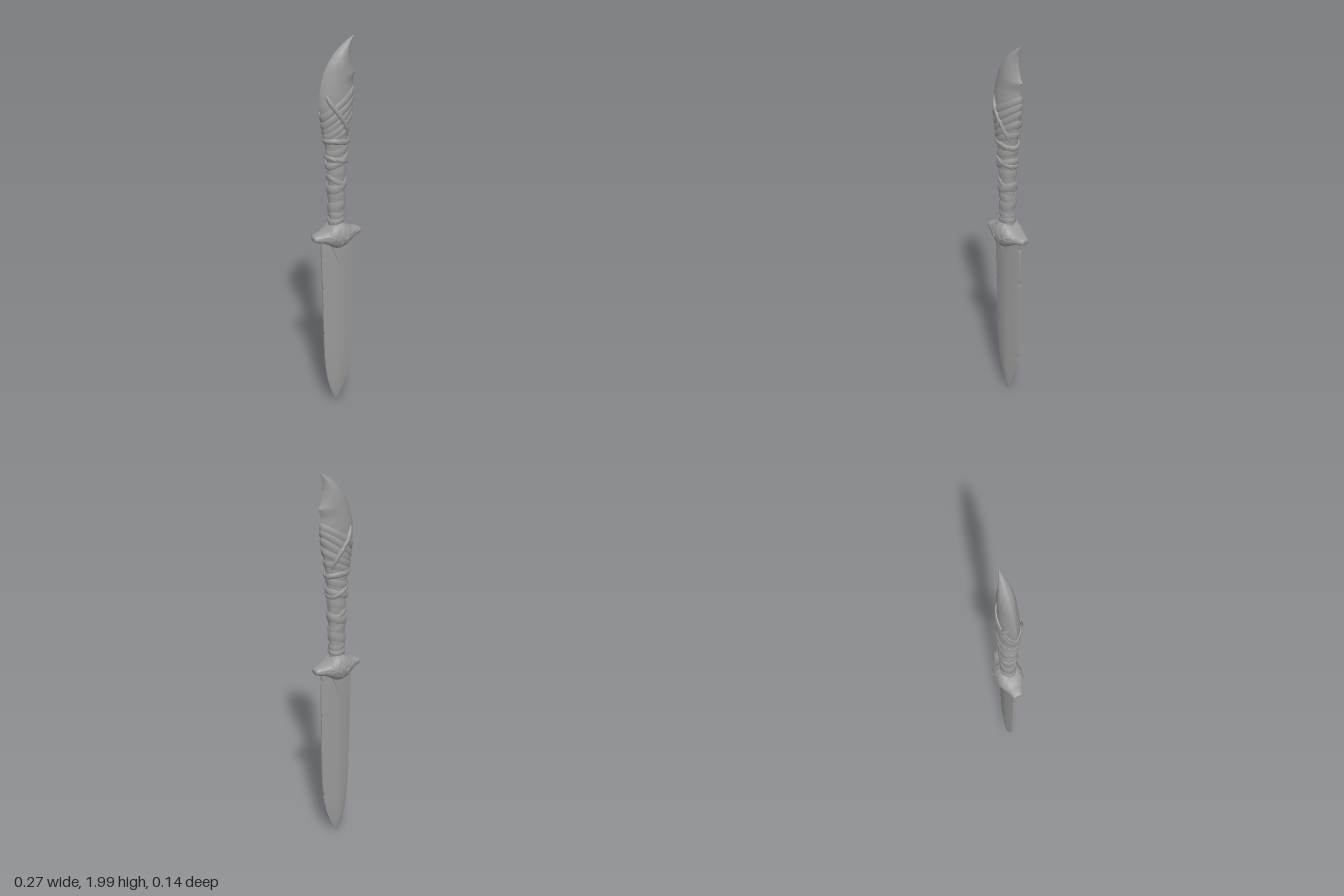
import * as THREE from 'three';
import { toCreasedNormals } from 'three/addons/utils/BufferGeometryUtils.js';

const material = new THREE.MeshStandardMaterial({ color: 0x999999 });
const TAU = Math.PI * 2;

// Skin a list of rings (arrays of [x, y, z]); looped joins last ring to first, otherwise ends are capped.
function loft(rings, looped, crease) {
  const n = rings[0].length, m = rings.length, pos = rings.flat(2), index = [];
  for (let i = 0; i < (looped ? m : m - 1); i++) {
    for (let j = 0; j < n; j++) {
      const a = i * n + j, b = i * n + (j + 1) % n;
      const c = ((i + 1) % m) * n + j, d = ((i + 1) % m) * n + (j + 1) % n;
      index.push(a, c, b, b, c, d);
    }
  }
  if (!looped) {
    const e = (m - 1) * n;
    for (let j = 1; j < n - 1; j++) index.push(0, j, j + 1, e, e + j + 1, e + j);
  }
  const g = new THREE.BufferGeometry();
  g.setAttribute('position', new THREE.Float32BufferAttribute(pos, 3));
  g.setIndex(index);
  return toCreasedNormals(g, crease);
}

// Interpolate rows of [key, ...values]
function sample(rows, k) {
  let i = 0;
  while (i < rows.length - 2 && k > rows[i + 1][0]) i++;
  const a = rows[i], b = rows[i + 1];
  const t = THREE.MathUtils.clamp((k - a[0]) / (b[0] - a[0]), 0, 1);
  return a.slice(1).map((v, q) => v + (b[q + 1] - v) * t);
}

function add(group, name, geometry) {
  const mesh = new THREE.Mesh(geometry, material);
  mesh.name = name;
  group.add(mesh);
}

// Blade rows: y, left x, right x, half thickness
const BLADE = [
  [0.01, -0.002, 0.002, 0.002], [0.04, -0.017, 0.02, 0.009], [0.09, -0.036, 0.043, 0.014],
  [0.15, -0.052, 0.063, 0.018], [0.22, -0.063, 0.079, 0.02], [0.3, -0.07, 0.087, 0.021],
  [0.42, -0.075, 0.091, 0.022], [0.6, -0.079, 0.093, 0.022], [0.8, -0.083, 0.094, 0.022],
  [0.95, -0.088, 0.093, 0.022], [1.02, -0.088, 0.09, 0.022],
];
// Nicks in the edges: y, side, depth
const NICKS = [[0.745, 1, 0.005], [0.27, 1, 0.005], [0.95, 1, 0.006], [0.45, -1, 0.004],
  [0.72, -1, 0.003], [0.9, -1, 0.003]];

function bladeGeometry() {
  const rings = [];
  const us = [-1, -0.8, -0.5, -0.2, 0, 0.2, 0.5, 0.8, 1];
  for (let i = 0; i <= 160; i++) {
    const y = 0.01 + 1.01 * i / 160;
    let [l, r, d] = sample(BLADE, y);
    for (const [ny, side, depth] of NICKS) {
      const dent = depth * Math.exp(-(((y - ny) / 0.01) ** 2));
      if (side > 0) r -= dent; else l += dent;
    }
    const at = (u, s) => [
      (l + r) / 2 * u * u + u * (r - l) / 2, y,
      s * d * (0.25 + 0.75 * (1 - Math.abs(u) ** 1.6)),
    ];
    rings.push([...us.slice().reverse().map(u => at(u, 1)), ...us.map(u => at(u, -1))]);
  }
  return loft(rings, false, 0.5);
}

// Grip and hooked pommel rows: y, left x, right x, half depth, edge sharpness
const GRIP = [
  [1.05, -0.042, 0.04, 0.034, 1], [1.12, -0.04, 0.038, 0.033, 1], [1.25, -0.043, 0.042, 0.036, 1],
  [1.4, -0.05, 0.048, 0.038, 1], [1.5, -0.061, 0.056, 0.04, 1.1], [1.6, -0.076, 0.073, 0.043, 1.2],
  [1.68, -0.092, 0.084, 0.045, 1.3], [1.74, -0.091, 0.088, 0.044, 1.5], [1.79, -0.082, 0.087, 0.041, 1.7],
  [1.83, -0.07, 0.1, 0.04, 1.7], [1.85, -0.062, 0.09, 0.039, 1.7], [1.88, -0.047, 0.08, 0.037, 1.7],
  [1.92, -0.018, 0.074, 0.031, 1.7], [1.95, 0.013, 0.076, 0.023, 1.7], [1.975, 0.045, 0.083, 0.013, 1.7],
  [2.0, 0.09, 0.093, 0.001, 1.7],
];

function gripPoint(y, a, out = 0) {
  const [l, r, d, p] = sample(GRIP, y);
  const c = Math.cos(a), s = Math.sin(a);
  return [(l + r) / 2 + ((r - l) / 2 + out) * c, y,
    Math.sign(s) * (d * Math.abs(s) ** p + out * Math.abs(s))];
}

function gripGeometry() {
  const rings = [];
  for (let i = 0; i <= 95; i++) {
    const y = 1.05 + 0.01 * i;
    rings.push(Array.from({ length: 32 }, (_, j) => gripPoint(y, j / 32 * TAU)));
  }
  return loft(rings, false, 0.5);
}

// A flat strap wound round the grip, tilted from side to side; `sink` tucks it in at the two sides
function strapGeometry(y0, tilt, half, thick, sink = 0) {
  const rings = [];
  for (let i = 0; i < 56; i++) {
    const a = i / 56 * TAU;
    const mid = y0 + tilt * Math.cos(a) + 0.003 * Math.sin(2 * a + y0 * 40);
    const tuck = sink * Math.cos(a) ** 4;
    rings.push(Array.from({ length: 10 }, (_, j) => {
      const f = j / 10 * TAU, c = Math.cos(f);
      const out = thick * Math.sign(c) * Math.sqrt(Math.abs(c)) - tuck;
      return gripPoint(mid - half * Math.sin(f), a, out);
    }));
  }
  return loft(rings, true, 0.9);
}

// Straps: centre y, tilt, half width, thickness, sink
const STRAPS = [
  [1.095, 0.004, 0.014, 0.006], [1.125, -0.006, 0.016, 0.004], [1.175, 0.012, 0.026, 0.006],
  [1.225, -0.012, 0.022, 0.004], [1.275, 0.014, 0.022, 0.009], [1.3, -0.026, 0.016, 0.008],
  [1.35, 0.01, 0.022, 0.003], [1.405, 0.02, 0.018, 0.01], [1.415, -0.018, 0.014, 0.011],
  [1.46, 0.014, 0.018, 0.005], [1.508, -0.008, 0.014, 0.012], [1.54, 0.028, 0.017, 0.006],
  [1.578, 0.045, 0.02, 0.008], [1.615, 0.058, 0.021, 0.007], [1.652, 0.066, 0.021, 0.009],
  [1.69, 0.06, 0.02, 0.008], [1.635, -0.125, 0.02, 0.015, 0.045],
];

// Guard rows: |x|, top y, bottom y, half depth
const GUARD = [
  [0, 1.085, 0.943, 0.067], [0.02, 1.083, 0.947, 0.067], [0.04, 1.07, 0.958, 0.064],
  [0.06, 1.052, 0.972, 0.057], [0.085, 1.04, 0.985, 0.043], [0.11, 1.034, 0.99, 0.032],
  [0.128, 1.028, 0.996, 0.026], [0.133, 1.02, 1.004, 0.02],
];

function guardGeometry() {
  const rings = [];
  for (let i = 0; i <= 76; i++) {
    const x = -0.133 + 0.266 * i / 76;
    const [top, bottom, d] = sample(GUARD, Math.abs(x));
    rings.push(Array.from({ length: 40 }, (_, j) => {
      const a = j / 40 * TAU, c = Math.cos(a), s = Math.sin(a);
      // Rough carving, fading towards the tips
      const k = 1 + 0.05 * Math.sin(Math.abs(x) * 190 + 3 * c) * Math.cos(4 * a) * (1 - Math.abs(x) / 0.14);
      const z = -Math.sign(s) * d * Math.abs(s) ** 0.7 * k;
      return [x, (top + bottom) / 2 + (top - bottom) / 2 * c, z];
    }));
  }
  return loft(rings, false, 0.7);
}

// Pointed tongue lying on the blade under the guard
function tongueGeometry() {
  const shape = new THREE.Shape();
  shape.moveTo(-0.042, 0.98);
  shape.lineTo(0, 0.862);
  shape.lineTo(0.042, 0.98);
  const g = new THREE.ExtrudeGeometry(shape, { depth: 0.042, bevelThickness: 0.003, bevelSize: 0.003, bevelSegments: 1 });
  return g.translate(0, 0, -0.021);
}

export function createModel() {
  const model = new THREE.Group();
  model.name = 'dagger';
  add(model, 'blade', bladeGeometry());
  add(model, 'bladeTongue', tongueGeometry());
  add(model, 'gripAndPommel', gripGeometry());

  const straps = new THREE.Group();
  straps.name = 'gripStraps';
  STRAPS.forEach((s, i) => add(straps, `strap${i + 1}`, strapGeometry(...s)));
  model.add(straps);

  const guard = new THREE.Group();
  guard.name = 'guard';
  add(guard, 'guardBody', guardGeometry());
  // Carved ridges sloping to the middle, on both faces
  for (const sz of [1, -1]) {
    for (const sx of [1, -1]) {
      const path = new THREE.CatmullRomCurve3([
        [0.09, 1.02, 0.034], [0.06, 1.024, 0.05], [0.032, 1.01, 0.062], [0.005, 0.985, 0.058],
      ].map(([x, y, z]) => new THREE.Vector3(x * sx, y, z * sz)));
      add(guard, 'guardRidge', new THREE.TubeGeometry(path, 16, 0.006, 8));
    }
  }
  model.add(guard);
  return model;
}
